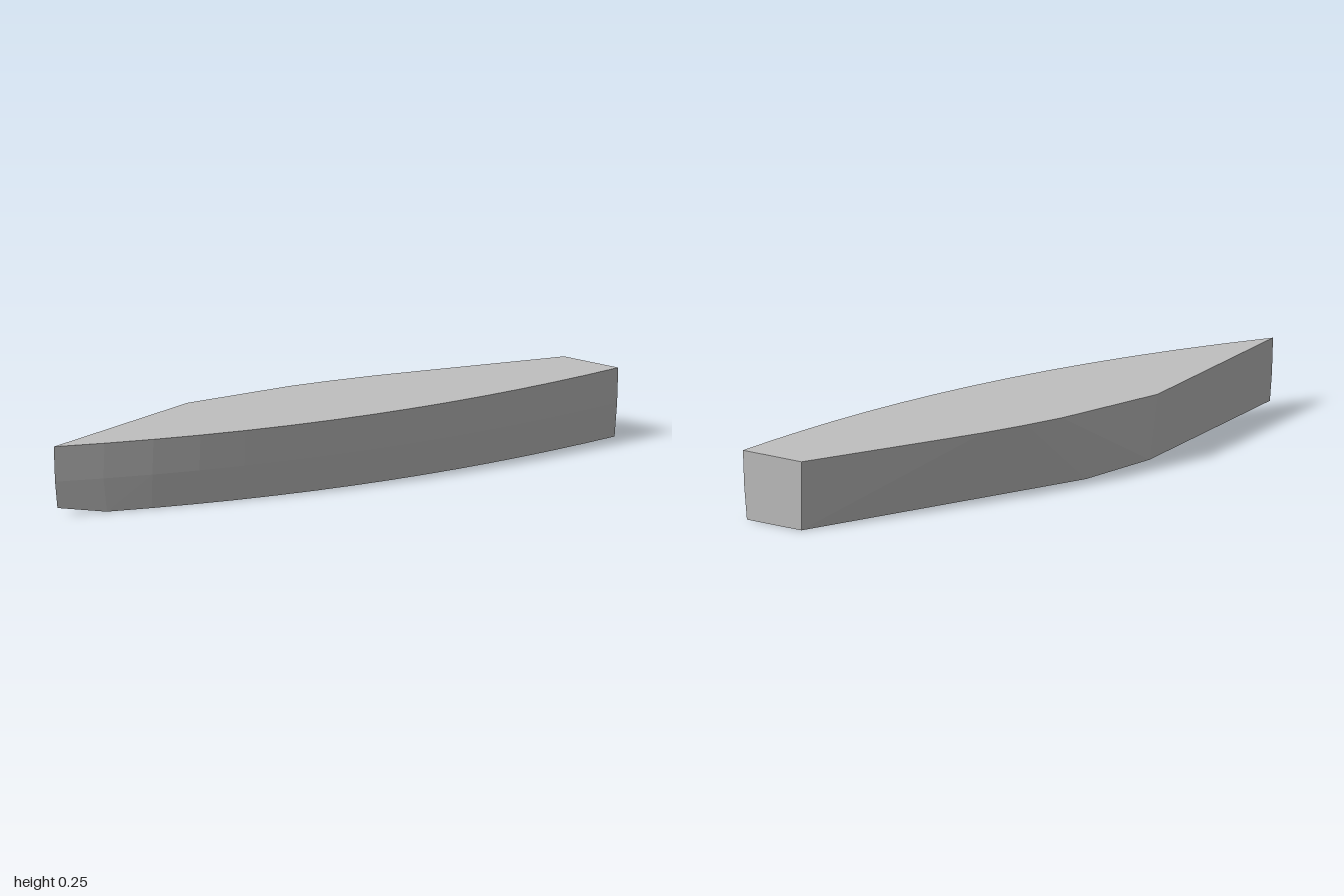
import * as THREE from 'three';
import { ConvexGeometry } from 'three/addons/geometries/ConvexGeometry.js';

// Curved front edge seen from above
const frontZ = (x) => 0.155 + 0.41 * x - 0.155 * x * x + 0.02 * x ** 3;

export function createModel() {
  const group = new THREE.Group();
  group.name = 'slab';
  const grey = new THREE.MeshStandardMaterial({ color: 0xc0c0c0 });
  grey.name = 'light grey';

  const points = [];
  const add = (x, y, z) => points.push(new THREE.Vector3(x, y, z));
  const top = 0.245, mid = 0.12, back = -0.43;

  // Bowed front wall, leaning inwards towards the base
  const steps = 14;
  for (let i = 0; i <= steps; i++) {
    const x = -1 + (2 * i) / steps;
    add(x, top, frontZ(x));
    if (i > 0) add(x, mid, frontZ(x) - 0.005);
    const xb = -0.84 + (1.84 * i) / steps;
    add(xb, 0, frontZ(xb) - 0.016);
  }

  // Left tip and chamfered underside along the back
  add(-0.993, mid, back);
  add(-0.98, 0.025, back);
  add(-0.22, 0.025, back);
  add(0.01, 0, -0.32);

  // Square end
  add(1, top, 0.195);
  add(1, 0, 0.195);

  // Rounded upper edge of the back wall
  for (const [x, z] of [[0.55, -0.07], [0.4, -0.157], [0.25, -0.234], [0.12, -0.294], [-0.27, back]]) {
    add(x, top, z);
  }

  const body = new THREE.Mesh(new ConvexGeometry(points), grey);
  body.name = 'slabBody';
  group.add(body);
  return group;
}
